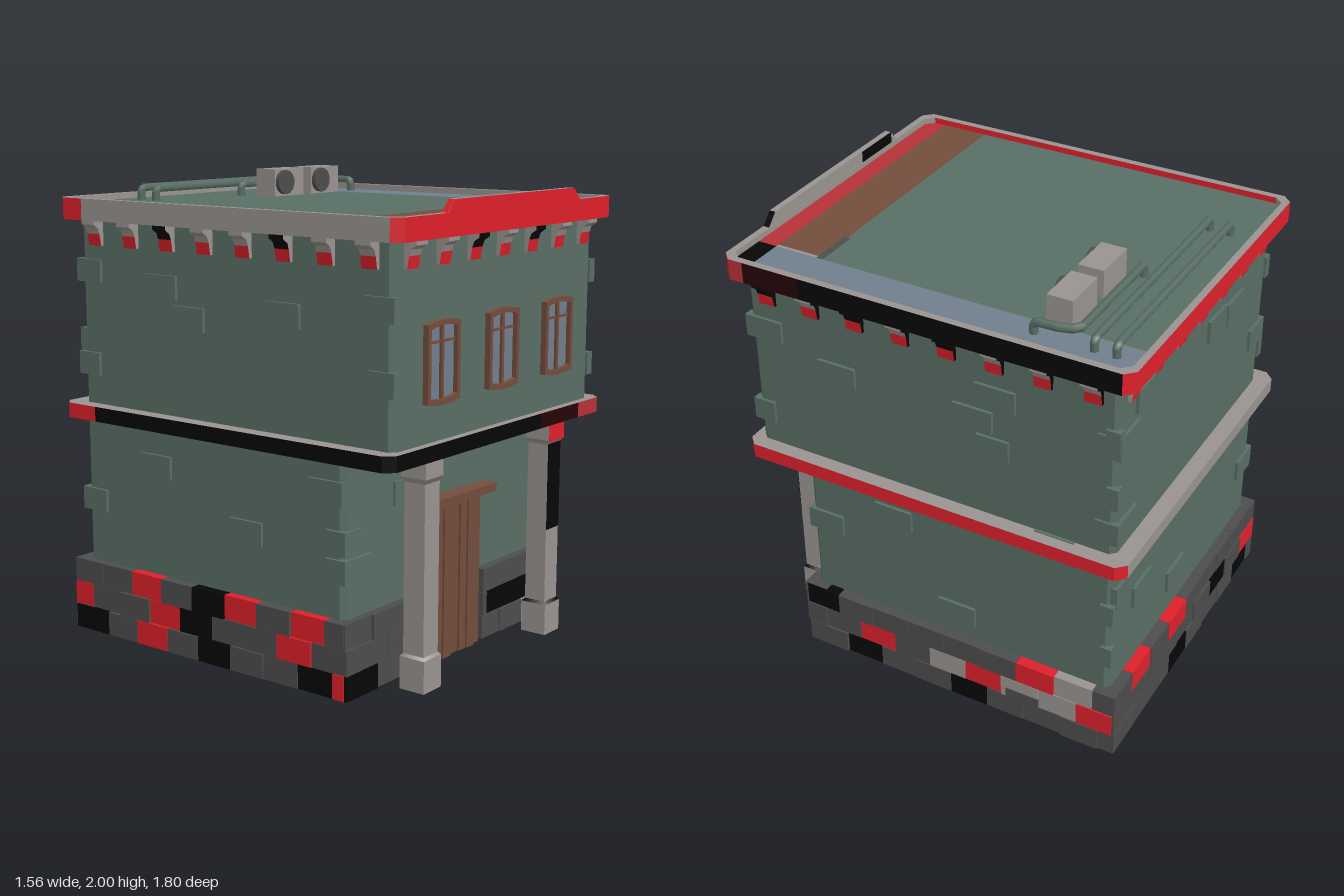
import * as THREE from 'three';

const mat = (name, color) => Object.assign(new THREE.MeshStandardMaterial({ color }), { name });
const M = {
  green: mat('green plaster', 0x586e64), red: mat('red paint', 0xde202b), fadedRed: mat('faded red', 0xb63238),
  darkRed: mat('dark red paint', 0x260407), black: mat('black paint', 0x070707), grey: mat('light stone', 0x999490),
  dark: mat('dark stone', 0x4d4d4d), brown: mat('brown wood', 0x734d3c), blue: mat('blue grey glass', 0x717e8c),
};
const KEY = { d: M.dark, k: M.black, r: M.red, l: M.grey };

function add(parent, name, geo, material, x = 0, y = 0, z = 0) {
  const m = new THREE.Mesh(geo, material);
  m.name = name;
  m.position.set(x, y, z);
  parent.add(m);
  return m;
}
// box given by its extents
function box(parent, name, material, x0, x1, y0, y1, z0, z1) {
  return add(parent, name, new THREE.BoxGeometry(x1 - x0, y1 - y0, z1 - z0), material,
    (x0 + x1) / 2, (y0 + y1) / 2, (z0 + z1) / 2);
}
const shapeOf = pts => new THREE.Shape(pts.map(p => new THREE.Vector2(p[0], p[1])));
// prism over a counter-clockwise outline; each point is [x, y, colour of the edge that starts there]
function prism(pts, depth, cap, hole = []) {
  const shape = shapeOf(pts);
  if (hole.length) shape.holes.push(shapeOf(hole));
  const geo = new THREE.ExtrudeGeometry(shape, { depth, bevelEnabled: false });
  const start = geo.groups[1].start, capCount = geo.groups[0].count, h = hole.length;
  const mats = [cap, ...pts.map(p => p[2]), ...hole.map((_, s) => hole[(2 * h - 2 - s) % h][2])];
  geo.clearGroups();
  geo.addGroup(0, capCount, 0);
  for (let s = 0; s < mats.length - 1; s++) geo.addGroup(start + s * 6, 6, s + 1);
  return [geo, mats];
}
// horizontal band with points [x, z, colour]
function band(parent, name, pts, y0, y1, cap, hole = []) {
  const flip = list => list.map(([x, z, m]) => [x, -z, m]);
  const [geo, mats] = prism(flip(pts), y1 - y0, cap, flip(hole));
  add(parent, name, geo.rotateX(-Math.PI / 2), mats, 0, y0, 0);
}
// rectangle with cut corners, in the same point format
const cutRect = (x, f, b, c, m, left = m) => [[-x + c, f, m], [x - c, f, m], [x, f - c, m], [x, b + c, m],
  [x - c, b, m], [-x + c, b, m], [-x, b + c, left], [-x, f - c, m]];
// group whose local +z looks out of one side: 0 front, 1 +x, 2 back, 3 -x
function sideGroup(parent, name, side, z = 0) {
  const g = new THREE.Group();
  g.name = name;
  g.rotation.y = side * Math.PI / 2;
  g.position.z = z;
  parent.add(g);
  return g;
}

function addWalls(root) {
  const g = M.green;
  band(root, 'lowerWalls', cutRect(0.715, 0.6, -0.83, 0.025, g), 0.02, 0.97, g, cutRect(0.695, 0.58, -0.81, 0.025, g));
  band(root, 'upperWalls', cutRect(0.715, 0.83, -0.83, 0.025, g), 1.02, 1.83, g, cutRect(0.695, 0.81, -0.81, 0.025, g));
  // raised bricks: [u, y, width] along each side
  const bricks = [
    [[-0.317, 0.775, 0.175], [-0.68, 0.635, 0.1], [-0.643, 0.52, 0.175]],
    [[-0.755, 1.585, 0.17], [-0.415, 1.47, 0.175], [0.21, 1.47, 0.175], [0.31, 1.59, 0.175], [0.297, 1.355, 0.145],
      [-0.79, 1.18, 0.1], [-0.177, 0.84, 0.175], [-0.52, 0.69, 0.17], [0.118, 0.445, 0.175], [0.572, 0.98, 0.175],
      [0.81, 1.56, 0.06], [0.815, 1.3, 0.05], [0.81, 0.72, 0.06], [0.815, 0.5, 0.05]],
    [[-0.5, 1.66, 0.17], [-0.64, 1.53, 0.17], [0.17, 1.6, 0.17], [0.36, 1.58, 0.17], [-0.64, 1.13, 0.17],
      [-0.62, 0.8, 0.17], [-0.45, 0.68, 0.17], [-0.1, 0.5, 0.17], [0.64, 1.3, 0.15], [0.64, 0.6, 0.15]],
    [[-0.77, 1.6, 0.14], [-0.35, 1.56, 0.17], [-0.2, 1.44, 0.17], [0.3, 1.5, 0.17], [0.77, 1.56, 0.14],
      [0.78, 1.28, 0.12], [-0.78, 1.2, 0.12], [-0.4, 0.8, 0.17], [0.1, 0.6, 0.17], [0.51, 0.83, 0.17], [-0.77, 0.6, 0.14]],
  ];
  const dist = [0.6, 0.715, 0.83, 0.715];
  bricks.forEach((list, side) => {
    const group = sideGroup(root, 'wallBricks', side);
    for (const [u, y, w] of list) {
      const depth = Math.abs(u) > 0.74 ? 0.04 : 0.1; // corner bricks are shallow
      add(group, 'wallBrick', new THREE.BoxGeometry(w, 0.098, depth), g, u, y, dist[side] + 0.014 - depth / 2);
    }
  });
}

function addBase(root) {
  // rows from top to bottom, colours from left to right seen from outside
  const rows = [
    ['ddddddddd', 'dddrddkkd', 'kddddddld'],
    ['kdddddrld', 'ddrdlrllr', 'dkddkdddd'],
    ['drdrddddd', 'ddddddkdr', 'dddkdddkd'],
    ['ddrdkrdrd', 'rddrkddrd', 'kdrdkddkr'],
  ];
  const w = 0.177, firstEnd = [0.177, 0.105, 0.21];
  let seed = 7;
  const rand = () => (seed = (seed * 16807) % 2147483647) / 2147483647;
  rows.forEach((list, side) => {
    const g = sideGroup(root, 'baseBricks', side, -0.12), half = side % 2 ? 0.748 : 0.755;
    list.forEach((row, r) => {
      const y1 = 0.325 - r * 0.105;
      [...row].forEach((c, i) => {
        const end = -0.76 + firstEnd[r] + w * i;
        let a = i ? end - w : -half;
        let b = i < 8 ? end : half;
        if (side === 0) { // leave the doorway free
          if (a >= -0.2 && b <= 0.2) return;
          if (a < -0.2 && b > -0.2) b = -0.2;
          if (a < 0.2 && b > 0.2) a = 0.2;
        }
        box(g, 'baseBrick', KEY[c], a + 0.001, b - 0.001, y1 - 0.103, y1, 0.65, 0.752 + rand() * 0.012);
      });
    });
  });
  // dark lower half of one pale brick
  box(root, 'baseBrickShade', M.dark, 0.75, 0.7665, 0.118, 0.165, -0.53, -0.375);
}

function addBands(root) {
  const { red, fadedRed, darkRed, black, grey } = M;
  band(root, 'floorLedge', [[-0.74, 0.865, black], [0.27, 0.865, darkRed], [0.58, 0.865, fadedRed], [0.74, 0.865, red],
    [0.78, 0.825, red], [0.78, -0.86, red], [0.74, -0.9, grey], [-0.74, -0.9, red], [-0.78, -0.86, red],
    [-0.78, -0.7, black], [-0.78, 0.825, black]], 0.962, 1.026, grey);
  const cornice = [[-0.74, 0.895, red], [0.74, 0.895, red], [0.78, 0.855, fadedRed], [0.78, 0.79, darkRed], [0.78, 0.53, black],
    [0.78, -0.86, red], [0.74, -0.9, red], [-0.74, -0.9, red], [-0.78, -0.86, red], [-0.78, -0.75, grey], [-0.78, 0.855, red]];
  band(root, 'cornice', cornice, 1.815, 1.875, grey);
  band(root, 'corniceRim', cornice, 1.875, 1.906, grey, cutRect(0.748, 0.865, -0.87, 0.035, grey, red));
  // raised front parapet
  const outline = [[-0.47, 1.906, grey], [0.49, 1.906, black], [0.44, 1.955, grey], [-0.43, 1.955, red]];
  add(root, 'parapet', ...prism(outline, 0.028, grey), 0, 0, 0.867);
  add(root, 'parapetFace', new THREE.ShapeGeometry(shapeOf(outline)), red, 0, 0, 0.8965);
  box(root, 'parapetBackPatch', black, -0.43, -0.2, 1.906, 1.954, 0.865, 0.868);

  // curved brackets under the cornice: red foot, coloured neck, plain cheeks
  const bracket = (neck, cheek) => {
    const [geo, mats] = prism([[-0.01, 1.708, red], [0.014, 1.708, red], [0.022, 1.757, neck], [0.031, 1.782, neck],
      [0.055, 1.798, neck], [0.055, 1.82, grey], [-0.01, 1.82, grey]], 0.072, cheek);
    return [geo.rotateY(-Math.PI / 2).translate(0.036, 0, 0), mats];
  };
  ['llklkll', 'klklklll', 'lllklll', 'llkllkll'].forEach((cols, side) => {
    const g = sideGroup(root, 'brackets', side), n = cols.length;
    [...cols].forEach((c, i) => add(g, 'bracket', ...bracket(KEY[c], side === 1 ? black : grey),
      (i - (n - 1) / 2) * 0.207, 0, side % 2 ? 0.715 : 0.83));
  });
}

// rectangle with bowed top and bottom
function arch(C, w, y0, y1, bow) {
  const p = new C();
  p.moveTo(-w, y0 + bow);
  p.quadraticCurveTo(0, y0 - bow, w, y0 + bow);
  p.lineTo(w, y1 - bow);
  p.quadraticCurveTo(0, y1 + bow, -w, y1 - bow);
  p.closePath();
  return p;
}
function addWindow(root, x) {
  const g = new THREE.Group();
  g.name = 'window';
  g.position.set(x, 0, 0.825);
  root.add(g);
  const frame = arch(THREE.Shape, 0.108, 1.17, 1.5, 0.012);
  frame.holes.push(arch(THREE.Path, 0.088, 1.192, 1.48, 0.012));
  add(g, 'windowFrame', new THREE.ExtrudeGeometry(frame, { depth: 0.03, bevelEnabled: false, curveSegments: 6 }), M.brown);
  add(g, 'windowGlass', new THREE.ShapeGeometry(arch(THREE.Shape, 0.095, 1.185, 1.487, 0.012), 6), M.blue, 0, 0, 0.01);
  box(g, 'windowPost', M.brown, -0.008, 0.008, 1.185, 1.485, 0.005, 0.022);
  box(g, 'windowBar', M.brown, -0.09, 0.09, 1.41, 1.42, 0.005, 0.018);
}

function addDoor(root) {
  const edges = [-0.2, -0.147, -0.085, -0.028, 0.04, 0.09, 0.15, 0.2];
  for (let i = 0; i < 7; i++)
    box(root, 'doorPlank', M.brown, edges[i] + 0.002, edges[i + 1] - 0.002, 0, 0.678 - (i % 2) * 0.004, 0.56, 0.62 + (i % 3) * 0.006);
  box(root, 'doorBacking', M.brown, -0.195, 0.195, 0.01, 0.68, 0.565, 0.612);
  const s = shapeOf([[-0.23, 0.672], [0.23, 0.675], [0.246, 0.708], [-0.246, 0.716]]);
  add(root, 'doorLintel', new THREE.ExtrudeGeometry(s, { depth: 0.1, bevelEnabled: false }), M.brown, 0, 0, 0.575);
}

function addColumn(root, x, painted) {
  const g = new THREE.Group();
  g.name = 'column';
  g.position.set(x, 0, 0.778);
  root.add(g);
  const taper = (name, bottom, top, y0, y1, m) => add(g, name,
    new THREE.CylinderGeometry(top / Math.SQRT2, bottom / Math.SQRT2, y1 - y0, 4).toNonIndexed().rotateY(Math.PI / 4), m, 0, (y0 + y1) / 2, 0);
  box(g, 'columnBase', M.grey, -0.059, 0.059, 0.02, 0.155, -0.059, 0.059);
  taper('columnBaseTop', 0.118, 0.1, 0.155, 0.167, painted ? M.black : M.grey);
  box(g, 'columnShaft', M.grey, -0.049, 0.049, 0.16, 0.868, -0.049, 0.049);
  taper('columnNeck', 0.098, 0.118, 0.865, 0.885, M.grey);
  box(g, 'columnCapital', M.grey, -0.059, 0.059, 0.885, 0.97, -0.059, 0.059);
  if (painted) { // only the front is painted
    box(g, 'shaftPaint', M.black, -0.049, 0.049, 0.49, 0.868, 0.049, 0.051);
    box(g, 'capitalPaint', M.red, -0.059, 0.059, 0.88, 0.962, 0.059, 0.061);
  }
}

function addRoof(root) {
  const tile = (name, m, x0, x1, z0, z1, y = 1.88) => box(root, name, m, x0, x1, y - 0.008, y, z0, z1);
  tile('roofField', M.green, -0.75, 0.565, -0.872, 0.57);
  tile('roofBrownStrip', M.brown, -0.75, 0.55, 0.57, 0.78);
  tile('roofLightSliver', M.grey, 0.55, 0.565, 0.57, 0.78);
  tile('roofBlueStrip', M.blue, 0.565, 0.75, -0.872, 0.78);
  tile('roofRedStrip', M.fadedRed, -0.75, 0.565, 0.78, 0.868);
  tile('roofBlackCorner', M.black, 0.565, 0.75, 0.78, 0.868);
  tile('roofDarkPatch', M.dark, 0.37, 0.565, 0.556, 0.584, 1.882);
  // cooling units with round fans
  for (const x of [0.105, 0.36]) {
    box(root, 'coolingUnit', M.grey, x, x + 0.2, 1.876, 2.0, -0.55, -0.44);
    const fan = add(root, 'coolingFan', new THREE.CylinderGeometry(0.054, 0.054, 0.02, 14), M.dark, x + 0.058, 1.942, -0.43);
    fan.rotation.x = Math.PI / 2;
  }
  // pipes whose ends drop into the roof
  const pipe = pts => {
    const path = new THREE.CurvePath();
    const v = pts.map(p => new THREE.Vector3(...p));
    for (let i = 0; i < v.length - 1; i++) path.add(new THREE.LineCurve3(v[i], v[i + 1]));
    add(root, 'roofPipe', new THREE.TubeGeometry(path, 90, 0.018, 6), M.green);
  };
  for (const z of [-0.775, -0.685])
    pipe([[-0.4, 1.876, z], [-0.4, 1.92, z], [-0.385, 1.932, z], [0.635, 1.932, z], [0.65, 1.92, z], [0.65, 1.876, z]]);
  pipe([[0.07, 1.876, -0.61], [0.07, 1.92, -0.61], [0.085, 1.932, -0.61], [0.6, 1.932, -0.61], [0.63, 1.932, -0.585],
    [0.645, 1.932, -0.53], [0.648, 1.932, -0.45], [0.648, 1.92, -0.435], [0.648, 1.876, -0.435]]);
}

export function createModel() {
  const root = new THREE.Group();
  root.name = 'townHouse';
  addWalls(root);
  addBase(root);
  addBands(root);
  for (const x of [-0.423, 0, 0.423]) addWindow(root, x);
  addDoor(root);
  addColumn(root, -0.455, false);
  addColumn(root, 0.45, true);
  addRoof(root);
  return root;
}
